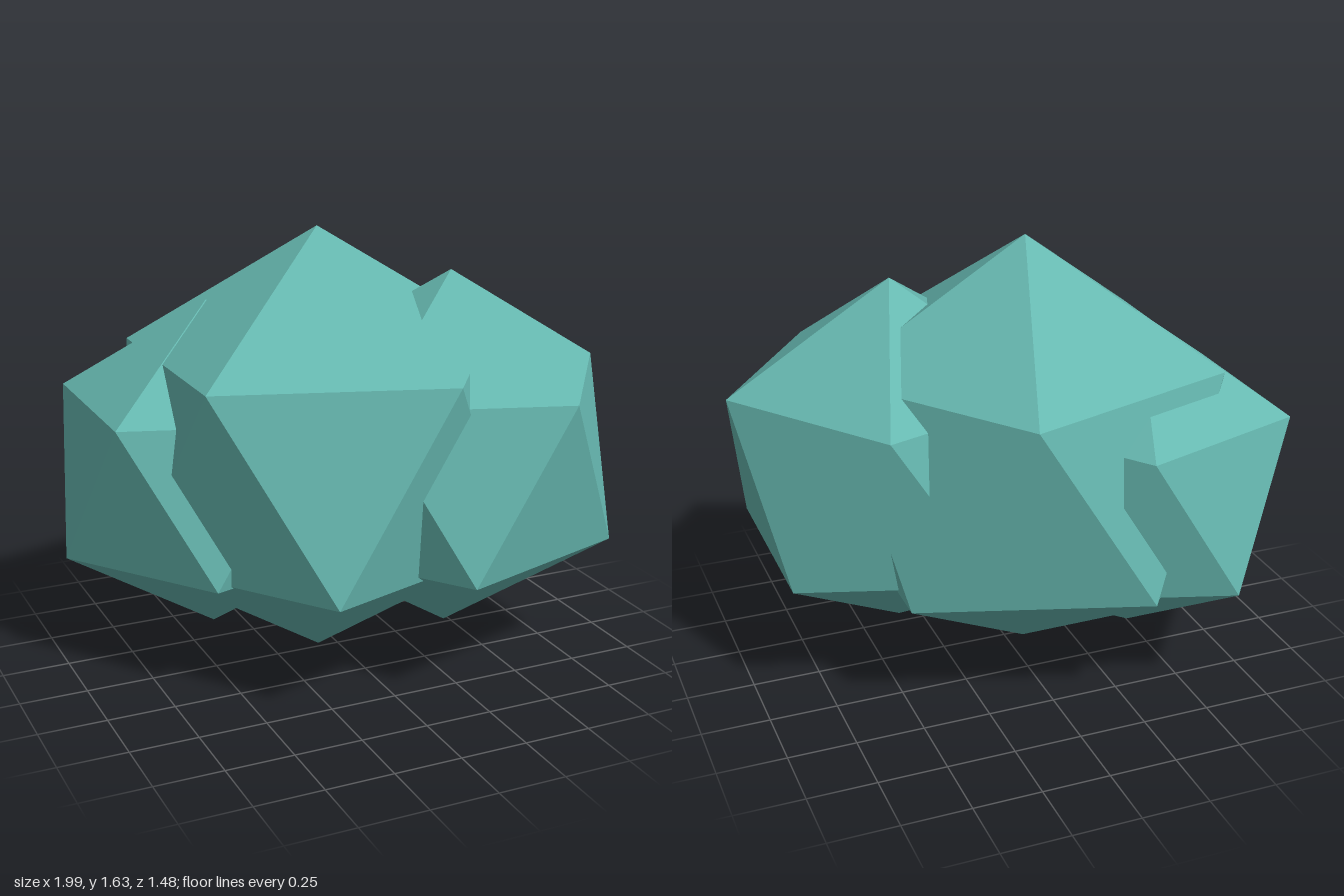
import * as THREE from 'three';

export function createModel() {
  const group = new THREE.Group();
  group.name = 'bush';
  const material = new THREE.MeshStandardMaterial({ color: 0x66b8b0, flatShading: true });

  // Icosahedron standing on a corner, with an upper-ring corner pointing to +x
  const tilt = -Math.atan(2 / (1 + Math.sqrt(5)));
  const clump = (name, radius, x, y, z) => {
    const geometry = new THREE.IcosahedronGeometry(radius, 0).rotateZ(tilt);
    const mesh = new THREE.Mesh(geometry, material);
    mesh.name = name;
    mesh.position.set(x, y, z);
    group.add(mesh);
  };

  // Three overlapping leaf clumps
  clump('mainClump', 0.816, -0.07, 0.818, -0.026);
  clump('leftClump', 0.688, 0.38, 0.783, 0.155);
  clump('rightClump', 0.633, -0.432, 0.728, -0.206);

  return group;
}
